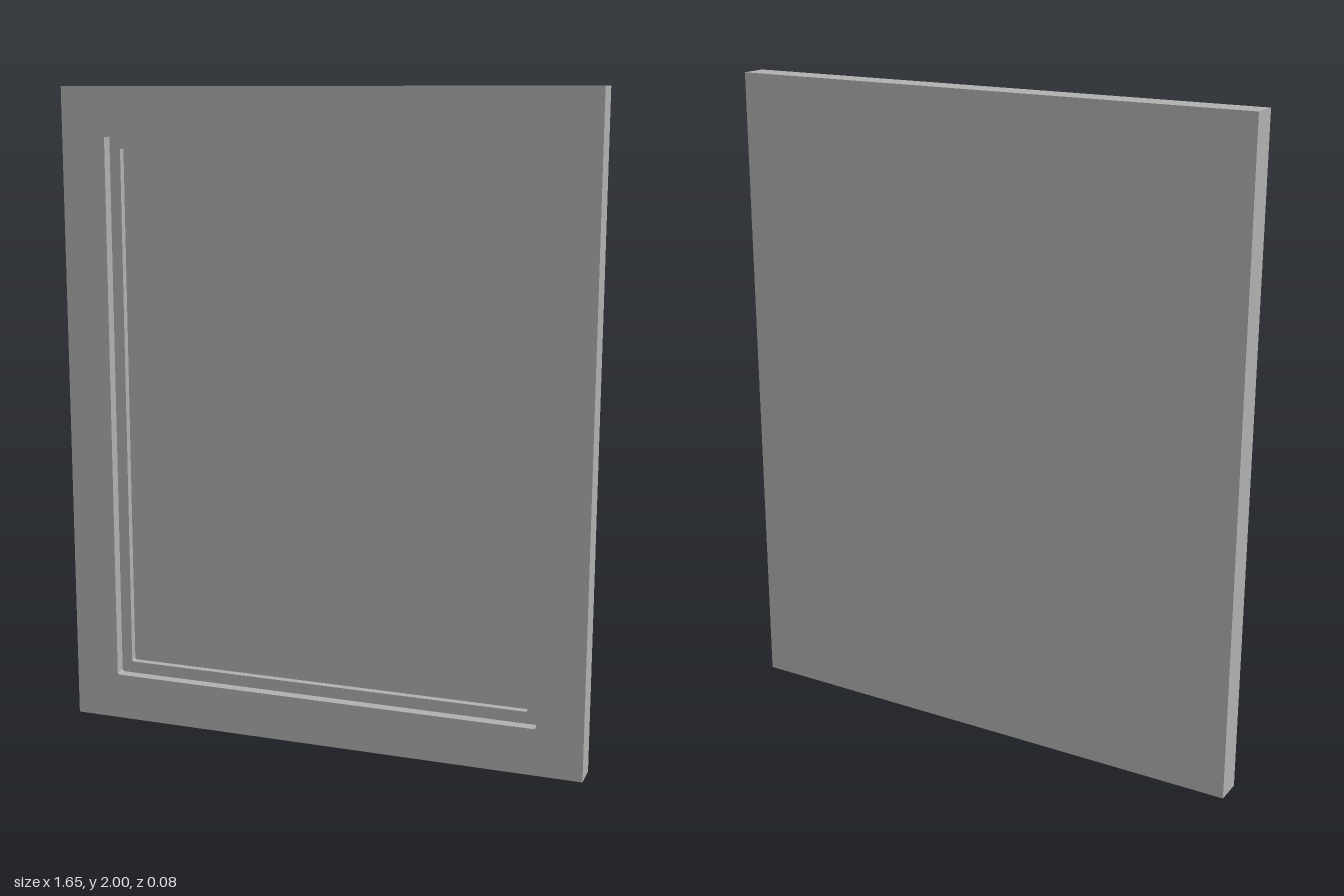
import * as THREE from 'three';

const WIDTH = 1.654, HEIGHT = 2, DEPTH = 0.084;
const FRONT = DEPTH / 2;          // face of the frame
const LEDGE = FRONT - 0.035;      // first step down
const PANEL = LEDGE - 0.023;      // recessed centre panel

// Rectangle centred on the door, counter-clockwise, with softly rounded corners
function outline(w, h, r) {
  const points = [];
  const corners = [[1, -1], [1, 1], [-1, 1], [-1, -1]];
  const steps = r > 0 ? 5 : 0;
  corners.forEach(([sx, sy], i) => {
    for (let k = 0; k <= steps; k++) {
      const a = (i - 1 + (steps ? k / steps : 0)) * Math.PI / 2;
      points.push(new THREE.Vector2(
        sx * (w / 2 - r) + r * Math.cos(a),
        HEIGHT / 2 + sy * (h / 2 - r) + r * Math.sin(a)));
    }
  });
  return points;
}

// Flat front-facing sheet, optionally with an opening
function sheet(points, hole, z) {
  const shape = new THREE.Shape(points);
  if (hole) shape.holes.push(new THREE.Path(hole));
  return new THREE.ShapeGeometry(shape).translate(0, 0, z);
}

// Inward-facing wall that follows an opening from one depth to another
function wall(points, zFront, zBack) {
  const pos = [];
  points.forEach((a, i) => {
    const b = points[(i + 1) % points.length];
    pos.push(a.x, a.y, zBack, a.x, a.y, zFront, b.x, b.y, zFront);
    pos.push(a.x, a.y, zBack, b.x, b.y, zFront, b.x, b.y, zBack);
  });
  const geometry = new THREE.BufferGeometry();
  geometry.setAttribute('position', new THREE.Float32BufferAttribute(pos, 3));
  geometry.computeVertexNormals();
  return geometry;
}

// Sides and back of the slab: a box left open at the front
function shell() {
  const box = new THREE.BoxGeometry(WIDTH, HEIGHT, DEPTH).translate(0, HEIGHT / 2, 0);
  const index = Array.from(box.index.array);
  index.splice(24, 6);
  box.setIndex(index);
  box.clearGroups();
  return box;
}

export function createModel() {
  const group = new THREE.Group();
  group.name = 'cabinetDoor';
  const grey = new THREE.MeshStandardMaterial({ color: 0xb0b0b0 });
  grey.name = 'grey';

  const add = (name, geometry) => {
    const mesh = new THREE.Mesh(geometry, grey);
    mesh.name = name;
    group.add(mesh);
  };

  const rim = outline(WIDTH, HEIGHT, 0);
  const outer = outline(1.37, 1.71, 0.008);
  const inner = outline(1.3, 1.636, 0.006);

  add('sidesAndBack', shell());
  add('frameFace', sheet(rim, outer, FRONT));
  add('outerRecessWall', wall(outer, FRONT, LEDGE));
  add('ledge', sheet(outer, inner, LEDGE));
  add('innerRecessWall', wall(inner, LEDGE, PANEL));
  add('centrePanel', sheet(inner, null, PANEL));
  return group;
}
